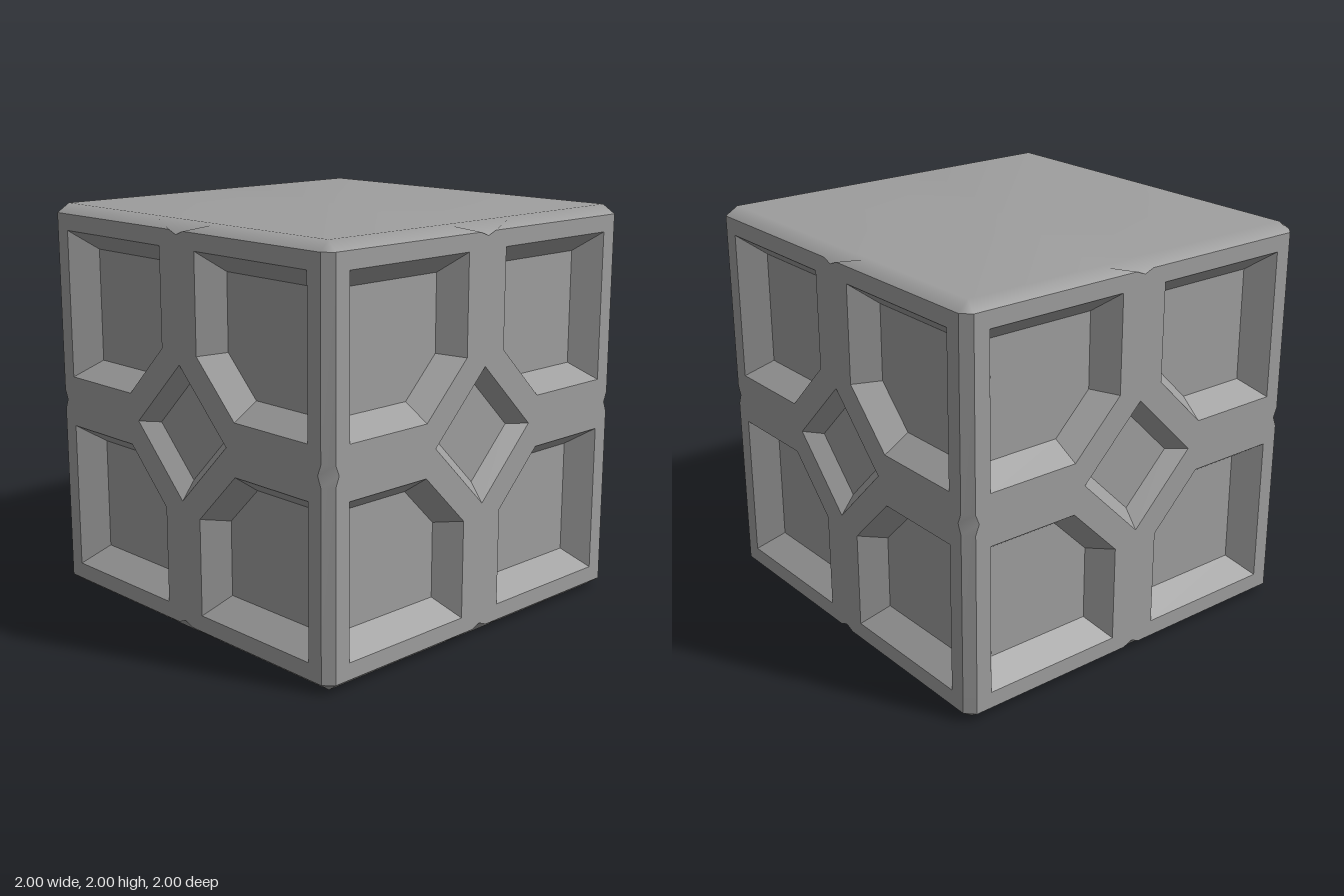
import * as THREE from 'three';
import { mergeVertices } from 'three/addons/utils/BufferGeometryUtils.js';

const material = new THREE.MeshStandardMaterial({ color: 0x9e9e9e });

const EDGE = 0.955; // half-width of a flat side panel, relative to its centre
const CAP = 0.94;   // half-width of the flat top and bottom
const NICK = 0.935; // panel edge at the small nick halfway along each side

// Mesh from a list of polygons, each wound counter-clockwise seen from outside
function polyMesh(name, polygons, smooth = false) {
  const pos = [];
  for (const p of polygons) {
    for (let i = 1; i < p.length - 1; i++) pos.push(...p[0], ...p[i], ...p[i + 1]);
  }
  let g = new THREE.BufferGeometry();
  g.setAttribute('position', new THREE.Float32BufferAttribute(pos, 3));
  if (smooth) g = mergeVertices(g);
  g.computeVertexNormals();
  const mesh = new THREE.Mesh(g, material);
  mesh.name = name;
  return mesh;
}

// Bevelled pocket between a rim on the panel and a smaller floor behind it
function pocket(name, rim, floor, depth) {
  const a = rim.map(([x, y]) => [x, y + 1, 1]);
  const b = floor.map(([x, y]) => [x, y + 1, 1 - depth]);
  const walls = a.map((p, i) => {
    const j = (i + 1) % a.length;
    return [p, a[j], b[j], b[i]];
  });
  return polyMesh(name, [...walls, b]);
}

// Mirror a loop into another quadrant, keeping it counter-clockwise
function mirror(loop, sx, sy) {
  const out = loop.map(([x, y]) => [x * sx, y * sy]);
  return sx * sy < 0 ? out.reverse() : out;
}

// Square pocket with its inner corner cut off (upper right quadrant)
const squareRim = [[0.39, 0.128], [0.873, 0.128], [0.873, 0.873], [0.128, 0.873], [0.128, 0.39]];
const squareFloor = [[0.405, 0.212], [0.778, 0.212], [0.778, 0.778], [0.212, 0.778], [0.212, 0.405]];
const diamond = (r) => [[r, 0], [0, r], [-r, 0], [0, -r]];

// Half-width of the panel along one edge: straight with a nick in the middle
const edgeSteps = [[-EDGE, EDGE], [-0.05, EDGE], [0, NICK], [0.05, EDGE], [EDGE, EDGE]];

function createSide() {
  const side = new THREE.Group();

  // Flat panel with nicked edges and five openings
  const outline = [];
  for (let k = 0; k < 4; k++) {
    const c = [1, 0, -1, 0][k], s = [0, 1, 0, -1][k];
    for (const [t, w] of edgeSteps.slice(0, -1)) outline.push([w * c - t * s, w * s + t * c]);
  }
  const toPoints = (loop) => loop.map(([x, y]) => new THREE.Vector2(x, y));
  const shape = new THREE.Shape(toPoints(outline));
  const addPocket = (name, rim, floor, depth) => {
    shape.holes.push(new THREE.Path(toPoints([...rim].reverse())));
    side.add(pocket(name, rim, floor, depth));
  };
  for (const sx of [1, -1]) for (const sy of [1, -1]) {
    addPocket('squarePocket', mirror(squareRim, sx, sy), mirror(squareFloor, sx, sy), 0.12);
  }
  addPocket('diamondPocket', diamond(0.33), diamond(0.24), 0.07);
  const panel = new THREE.Mesh(new THREE.ShapeGeometry(shape).translate(0, 1, 1), material);
  panel.name = 'sidePanel';
  side.add(panel);

  // Vertical corner chamfer, softly shaded through the nick
  const corner = [];
  for (let i = 0; i < edgeSteps.length - 1; i++) {
    const [t0, w0] = edgeSteps[i], [t1, w1] = edgeSteps[i + 1];
    corner.push([[w0, 1 + t0, 1], [1, 1 + t0, w0], [1, 1 + t1, w1], [w1, 1 + t1, 1]]);
  }
  side.add(polyMesh('cornerChamfer', corner, true));
  return side;
}

// Flat top or bottom (sign 1 or -1) blending smoothly into its four chamfers
function createCap(name, sign) {
  const [p0, p1, p2, p3, p4] = edgeSteps.map(([t, w]) => [t, w, 1]);
  const [c0, c1, c2, c3] = [-CAP, -0.23, 0.23, CAP].map((t) => [t, 1, CAP]);
  const centre = [0, 1, 0];
  const quarter = [
    [p0, p1, c1, c0], [p1, p2, c1], [p2, c2, c1], [p2, p3, c2], [p3, p4, c3, c2],
    [p4, [1, EDGE, EDGE], c3],
    [c0, c1, centre], [c1, c2, centre], [c2, c3, centre],
  ];
  const polygons = [];
  for (let k = 0; k < 4; k++) {
    const c = [1, 0, -1, 0][k], s = [0, 1, 0, -1][k];
    for (const poly of quarter) {
      const turned = poly.map(([x, y, z]) => [x * c + z * s, 1 + sign * y, z * c - x * s]);
      polygons.push(sign < 0 ? turned.reverse() : turned);
    }
  }
  return polyMesh(name, polygons, true);
}

export function createModel() {
  const crate = new THREE.Group();
  crate.name = 'crate';

  // Four identical sides
  ['front', 'left', 'back', 'right'].forEach((label, i) => {
    const side = createSide();
    side.name = label + 'Side';
    side.rotation.y = (i * Math.PI) / 2;
    crate.add(side);
  });

  // Plain top and bottom
  crate.add(createCap('top', 1), createCap('bottom', -1));
  return crate;
}
